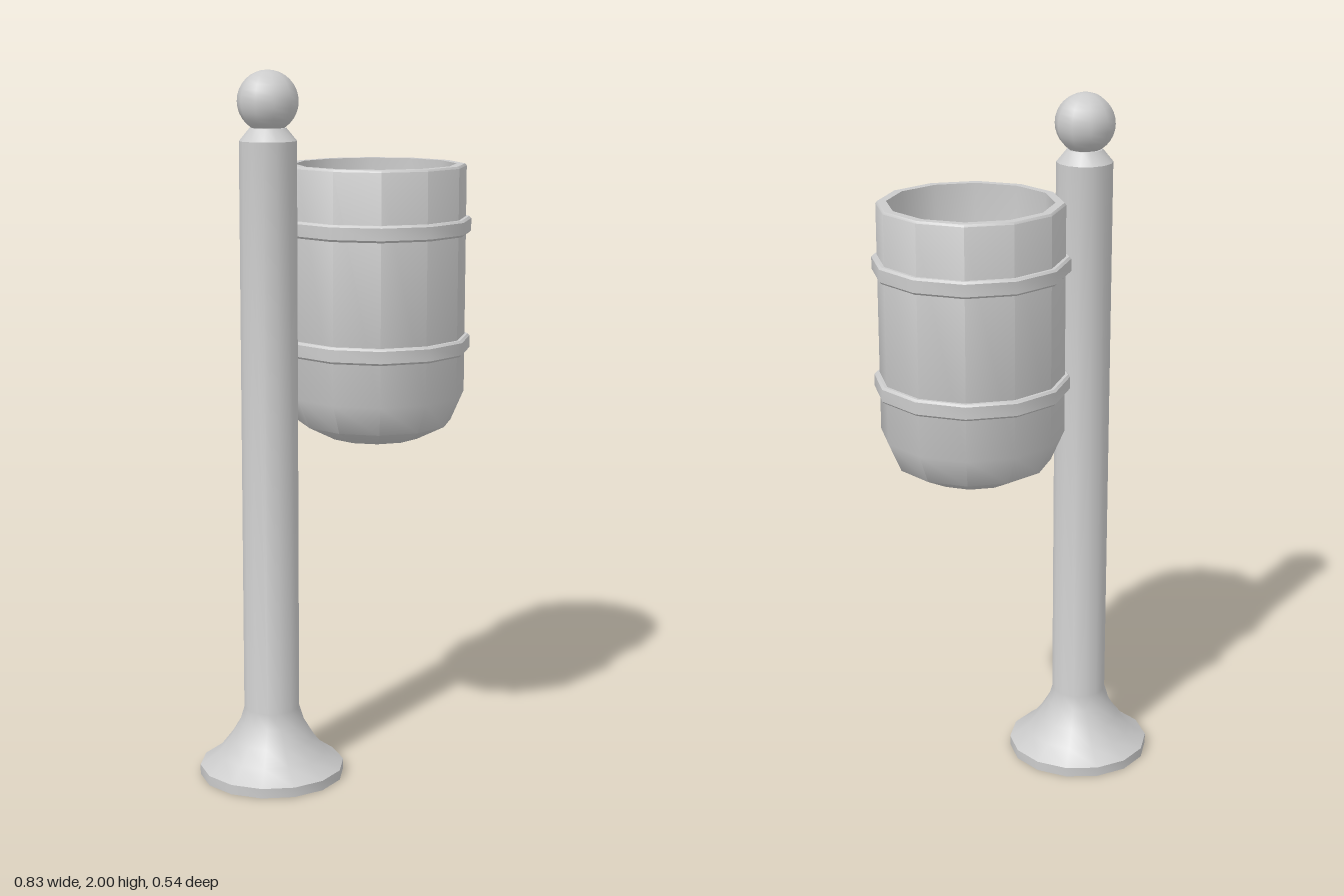
import * as THREE from 'three';
import { toCreasedNormals } from 'three/addons/utils/BufferGeometryUtils.js';

const POLE_X = -0.21;
const BIN_X = 0.14;

// Turned part from [radius, height] pairs, listed upwards along the outside
function turned(name, x, sides, profile, crease, doubleSided = false) {
  const points = profile.map(([r, y]) => new THREE.Vector2(r, y));
  const lathe = new THREE.LatheGeometry(points, sides, Math.PI / 2);
  const material = new THREE.MeshStandardMaterial({ color: 0xcccccc });
  if (doubleSided) material.side = THREE.DoubleSide;
  const mesh = new THREE.Mesh(toCreasedNormals(lathe, THREE.MathUtils.degToRad(crease)), material);
  mesh.name = name;
  mesh.position.x = x;
  return mesh;
}

export function createModel() {
  const group = new THREE.Group();
  group.name = 'litterBinOnPost';

  // Flared foot, hollow underneath, running into the post with its chamfered top
  group.add(turned('post', POLE_X, 14, [
    [0.207, 0], [0.207, 0.028], [0.155, 0.065], [0.12, 0.11], [0.092, 0.157], [0.079, 0.2],
    [0.079, 1.81], [0.05, 1.845], [0, 1.845],
  ], 35, true));

  // Ball on top of the post
  const ball = new THREE.Mesh(
    new THREE.SphereGeometry(0.084, 10, 16),
    new THREE.MeshStandardMaterial({ color: 0xcccccc }),
  );
  ball.name = 'ballFinial';
  ball.position.set(POLE_X, 1.916, 0);
  group.add(ball);

  // Open bin with a wall thickness and a rounded bottom
  group.add(turned('bin', BIN_X, 12, [
    [0, 0.957], [0.135, 0.957], [0.22, 1.0], [0.257, 1.085], [0.257, 1.729], [0.252, 1.735],
    [0.228, 1.735], [0.228, 1.09], [0.195, 1.02], [0.12, 0.985], [0, 0.985],
  ], 44));

  // Two bands around the bin
  for (const [name, y] of [['lowerBand', 1.228], ['upperBand', 1.564]]) {
    group.add(turned(name, BIN_X, 12, [
      [0.25, y - 0.023], [0.266, y - 0.023], [0.272, y - 0.017],
      [0.272, y + 0.017], [0.266, y + 0.023], [0.25, y + 0.023],
    ], 40));
  }

  return group;
}
